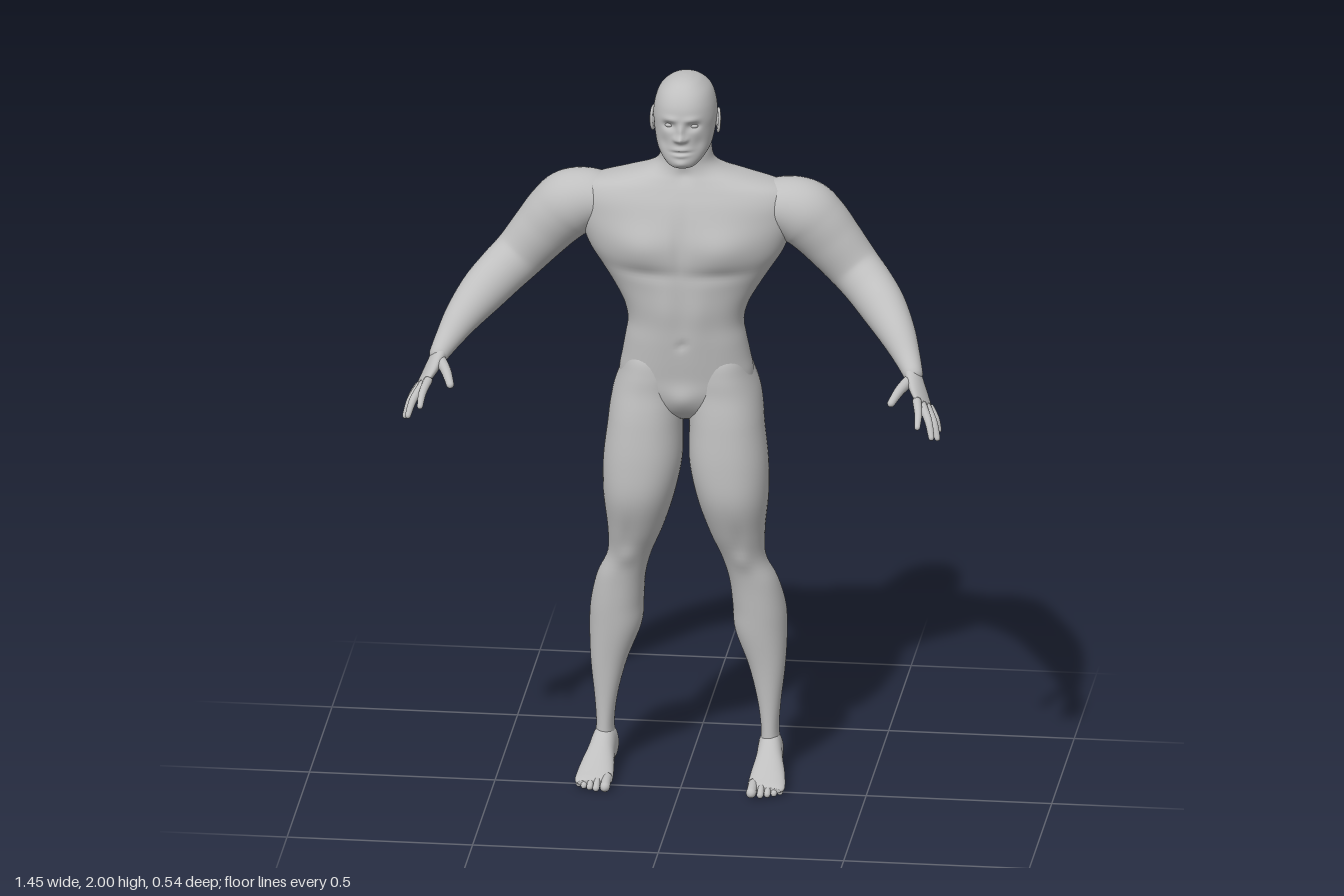
import * as THREE from 'three';

const skin = new THREE.MeshStandardMaterial({ color: 0xbfbfbf });
skin.name = 'plain grey';

// Catmull-Rom interpolation of equally long rows of numbers
function smooth(rows, steps) {
  const out = [], n = rows.length - 1;
  for (let k = 0; k <= n * steps; k++) {
    const i = Math.min(Math.floor(k / steps), n - 1), t = k / steps - i;
    const [a, b, c, d] = [rows[Math.max(i - 1, 0)], rows[i], rows[i + 1], rows[Math.min(i + 2, n)]];
    out.push(b.map((p, j) => p + 0.5 * t * (c[j] - a[j] + t * (2 * a[j] - 5 * p + 4 * c[j] - d[j]
      + t * (3 * (p - c[j]) + d[j] - a[j])))));
  }
  return out;
}

// Closed skin over rings of points, wound so that it faces outwards
function skinRings(rings) {
  const n = rings[0].length, pts = rings.flat(), tris = [];
  const quad = (a, b, c, d) => tris.push([a, b, c], [b, d, c]);
  for (let r = 0; r < rings.length - 1; r++)
    for (let i = 0; i < n; i++) {
      const j = (i + 1) % n;
      quad(r * n + i, r * n + j, (r + 1) * n + i, (r + 1) * n + j);
    }
  for (const r of [0, rings.length - 1]) {
    const mid = rings[r].reduce((s, p) => s.add(p), new THREE.Vector3()).divideScalar(n);
    pts.push(mid);
    for (let i = 0; i < n; i++) {
      const t = [pts.length - 1, r * n + (i + 1) % n, r * n + i];
      tris.push(r ? t.reverse() : t);
    }
  }
  let volume = 0;
  const cross = new THREE.Vector3();
  for (const [a, b, c] of tris) volume += pts[a].dot(cross.crossVectors(pts[b], pts[c]));
  const geo = new THREE.BufferGeometry().setFromPoints(pts);
  geo.setIndex(tris.flatMap(t => (volume < 0 ? [t[0], t[2], t[1]] : t)));
  geo.computeVertexNormals();
  return geo;
}

// Loft of slices [position, centre x, half width, high, low, power high, power low].
// Slices stack along y (high = front z) or, with alongZ, along z (high = top y).
// Bumps [x, y, z, rx, ry, rz, push] move the surface softly along z on both sides.
function loft(rows, { s = 1, seg = 48, steps = 5, alongZ = false, bumps = [] } = {}) {
  const full = rows.map(r => [...r, ...[2.2, 2.2].slice(r.length - 5)]);
  return skinRings(smooth(full, steps).map(([t, c, w, hi, lo, nh, nl]) => {
    const ring = [];
    for (let i = 0; i < seg; i++) {
      const a = (i / seg) * Math.PI * 2, co = Math.cos(a), si = Math.sin(a);
      const e = 2 / (si >= 0 ? nh : nl);
      const x = c + w * Math.sign(co) * Math.abs(co) ** e;
      const q = (hi + lo) / 2 + (hi - lo) / 2 * Math.sign(si) * Math.abs(si) ** e;
      const p = alongZ ? new THREE.Vector3(x, q, t) : new THREE.Vector3(x, t, q);
      let dz = 0;
      for (const [bx, by, bz, rx, ry, rz, push] of bumps)
        dz += push * Math.exp(-(((Math.abs(p.x) - bx) / rx) ** 2) - ((p.y - by) / ry) ** 2 - ((p.z - bz) / rz) ** 2);
      p.z += dz;
      p.x *= s;
      ring.push(p);
    }
    return ring;
  }));
}

// Limb along points [x, y, z, radius across, radius along ref], with a round tip
function limb(rows, { s = 1, ref = [0, 0, 1], seg = 24, steps = 6 } = {}) {
  const path = smooth(rows, steps), V = r => new THREE.Vector3(r[0], r[1], r[2]);
  const ring = (c, t, a, b) => {
    const v = new THREE.Vector3(...ref);
    v.addScaledVector(t, -v.dot(t)).normalize();
    const u = new THREE.Vector3().crossVectors(v, t);
    return Array.from({ length: seg }, (_, i) => {
      const g = (i / seg) * Math.PI * 2;
      const p = c.clone().addScaledVector(u, a * Math.cos(g)).addScaledVector(v, b * Math.sin(g));
      p.x *= s;
      return p;
    });
  };
  const tangent = i => V(path[Math.min(i + 1, path.length - 1)]).sub(V(path[Math.max(i - 1, 0)])).normalize();
  const rings = path.map((r, i) => ring(V(r), tangent(i), r[3], r[4]));
  const end = path[path.length - 1], t = tangent(path.length - 1), len = Math.min(end[3], end[4]);
  for (const g of [0.4, 0.8, 1.15, 1.45])
    rings.push(ring(V(end).addScaledVector(t, len * Math.sin(g)), t, end[3] * Math.cos(g), end[4] * Math.cos(g)));
  return skinRings(rings);
}

export function createModel() {
  const model = new THREE.Group();
  model.name = 'standing figure';
  const add = (name, geo, parent = model) => {
    const mesh = new THREE.Mesh(geo, skin);
    mesh.name = name;
    parent.add(mesh);
    return mesh;
  };

  // Torso from crotch to neck
  add('torso', loft([
    [1.02, 0, 0.03, -0.09, -0.16], [1.05, 0, 0.10, -0.055, -0.20], [1.10, 0, 0.17, -0.038, -0.215],
    [1.15, 0, 0.18, -0.032, -0.235], [1.20, 0, 0.172, -0.026, -0.238], [1.25, 0, 0.163, -0.022, -0.228],
    [1.30, 0, 0.156, -0.02, -0.226], [1.35, 0, 0.168, -0.016, -0.238], [1.40, 0, 0.196, -0.014, -0.25, 2.1, 2.4],
    [1.45, 0, 0.228, -0.012, -0.258, 2.1, 2.5], [1.50, 0, 0.26, -0.008, -0.263, 2.1, 2.6],
    [1.55, 0, 0.28, -0.01, -0.264, 2.1, 2.7], [1.60, 0, 0.295, -0.02, -0.263, 2.1, 2.7],
    [1.645, 0, 0.295, -0.034, -0.254, 2.2, 2.6], [1.68, 0, 0.27, -0.05, -0.242], [1.705, 0, 0.185, -0.062, -0.228],
    [1.725, 0, 0.115, -0.07, -0.215], [1.75, 0, 0.078, -0.072, -0.198], [1.79, 0, 0.068, -0.07, -0.188],
    [1.86, 0, 0.064, -0.08, -0.188],
  ], { seg: 96, bumps: [
    [0.11, 1.53, 0, 0.08, 0.06, 0.1, 0.016],          // chest muscles
    [0, 1.55, 0, 0.014, 0.09, 0.08, -0.007],          // breastbone groove
    [0.1, 1.455, 0, 0.09, 0.018, 0.08, -0.006],       // crease under the chest
    [0.045, 1.34, 0, 0.035, 0.09, 0.08, 0.006],       // stomach muscles
    [0, 1.252, 0, 0.012, 0.012, 0.08, -0.007],        // navel
    [0, 1.09, -0.04, 0.04, 0.035, 0.05, 0.012],       // groin
    [0, 1.45, -0.26, 0.022, 0.2, 0.08, 0.02],         // spine groove
    [0.11, 1.6, -0.26, 0.07, 0.08, 0.08, -0.01],      // shoulder blades
    [0.05, 1.28, -0.23, 0.03, 0.08, 0.06, -0.006],    // lower back muscles
    [0, 1.72, -0.06, 0.02, 0.02, 0.04, -0.006],       // throat hollow
  ] }));

  // Head with modelled face
  add('head', loft([
    [1.763, 0, 0.012, -0.02, -0.045], [1.768, 0, 0.034, -0.006, -0.075], [1.785, 0, 0.054, 0, -0.125],
    [1.81, 0, 0.071, -0.001, -0.175], [1.84, 0, 0.079, -0.002, -0.203], [1.87, 0, 0.083, -0.002, -0.214],
    [1.90, 0, 0.085, -0.001, -0.218], [1.935, 0, 0.08, -0.006, -0.214], [1.965, 0, 0.068, -0.022, -0.2],
    [1.987, 0, 0.045, -0.046, -0.172], [1.997, 0, 0.022, -0.074, -0.14], [2.0, 0, 0.005, -0.1, -0.112],
  ], { seg: 120, steps: 8, bumps: [
    [0.033, 1.885, 0, 0.017, 0.011, 0.05, -0.013],    // eye sockets
    [0.028, 1.905, 0, 0.022, 0.008, 0.04, 0.005],     // brow
    [0, 1.852, 0, 0.012, 0.011, 0.04, 0.021],         // nose tip
    [0, 1.873, 0, 0.009, 0.017, 0.04, 0.011],         // nose bridge
    [0.014, 1.849, 0, 0.007, 0.007, 0.04, 0.006],     // nostrils
    [0, 1.821, 0, 0.022, 0.006, 0.04, 0.006],         // upper lip
    [0, 1.804, 0, 0.019, 0.006, 0.04, 0.006],         // lower lip
    [0, 1.812, 0, 0.024, 0.003, 0.04, -0.005],        // mouth line
    [0, 1.781, 0, 0.018, 0.011, 0.04, 0.006],         // chin
    [0.046, 1.835, -0.02, 0.014, 0.02, 0.04, -0.005], // cheeks
  ] }));

  for (const s of [1, -1]) {
    const side = s > 0 ? 'left' : 'right';
    const part = (name, geo) => add(`${side} ${name}`, geo);

    // Eye and ear
    part('eye', new THREE.SphereGeometry(0.011, 20, 14).scale(1.1, 0.6, 0.8).translate(s * 0.033, 1.884, -0.023));
    const ear = new THREE.Group();
    ear.name = `${side} ear`;
    add('ear shell', new THREE.SphereGeometry(1, 20, 14).scale(0.007, 0.028, 0.015), ear);
    add('ear rim', new THREE.TorusGeometry(0.016, 0.004, 10, 28).scale(1, 1.75, 1).rotateY(Math.PI / 2), ear);
    ear.position.set(s * 0.088, 1.868, -0.118);
    ear.rotation.set(-0.2, s * 0.25, 0);
    model.add(ear);

    // Leg from hip and buttock to ankle
    part('leg', loft([
      [1.24, 0.08, 0.05, -0.08, -0.195], [1.20, 0.086, 0.076, -0.045, -0.243], [1.15, 0.092, 0.088, -0.036, -0.265],
      [1.10, 0.1, 0.097, -0.033, -0.268], [1.05, 0.106, 0.1, -0.025, -0.254], [1.0, 0.11, 0.101, -0.019, -0.236],
      [0.9, 0.116, 0.106, -0.011, -0.23], [0.8, 0.126, 0.096, -0.014, -0.23], [0.7, 0.137, 0.075, -0.047, -0.213],
      [0.62, 0.154, 0.059, -0.08, -0.2], [0.55, 0.178, 0.065, -0.092, -0.222], [0.47, 0.191, 0.071, -0.099, -0.253],
      [0.4, 0.196, 0.07, -0.105, -0.25], [0.3, 0.213, 0.049, -0.115, -0.22], [0.2, 0.22, 0.031, -0.12, -0.2],
      [0.12, 0.222, 0.024, -0.12, -0.203], [0.07, 0.223, 0.029, -0.118, -0.208], [0.03, 0.223, 0.026, -0.12, -0.205],
    ], { s, bumps: [
      [0.155, 0.625, -0.085, 0.024, 0.03, 0.03, 0.008], // kneecap
      [0.15, 0.7, -0.06, 0.015, 0.05, 0.04, -0.004],    // hollow above the knee
      [0.16, 0.6, -0.21, 0.025, 0.04, 0.03, 0.007],     // back of the knee
    ] }));

    // Foot and toes
    part('foot', loft([
      [-0.222, 0.222, 0.01, 0.042, 0.016], [-0.212, 0.222, 0.026, 0.075, 0.004], [-0.18, 0.222, 0.034, 0.11, 0],
      [-0.14, 0.224, 0.034, 0.115, 0], [-0.10, 0.227, 0.037, 0.094, 0.002], [-0.05, 0.23, 0.045, 0.067, 0.003],
      [0, 0.232, 0.05, 0.043, 0.001], [0.025, 0.233, 0.049, 0.032, 0.003], [0.038, 0.233, 0.04, 0.024, 0.007],
    ], { s, alongZ: true }));
    [[0.197, 0.058, 0.014], [0.221, 0.058, 0.0095], [0.239, 0.05, 0.009], [0.256, 0.04, 0.0085], [0.271, 0.026, 0.008]]
      .forEach(([x, z, r], i) => part(`toe ${i + 1}`, limb([
        [x, 0.022, z - 0.055, r, r], [x, 0.021, z - 0.025, r * 0.9, r * 0.9], [x, r + 0.001, z, r, r],
      ], { s, ref: [0, 1, 0], seg: 14, steps: 4 })));

    // Arm from shoulder to wrist
    part('arm', limb([
      [0.19, 1.61, -0.15, 0.06, 0.07], [0.255, 1.618, -0.152, 0.08, 0.082], [0.31, 1.603, -0.153, 0.092, 0.088],
      [0.35, 1.57, -0.154, 0.089, 0.083], [0.395, 1.518, -0.154, 0.081, 0.074], [0.45, 1.453, -0.148, 0.072, 0.065],
      [0.495, 1.412, -0.115, 0.068, 0.062], [0.54, 1.372, -0.062, 0.063, 0.058], [0.585, 1.325, 0.005, 0.05, 0.047],
      [0.618, 1.28, 0.06, 0.036, 0.034], [0.638, 1.25, 0.1, 0.027, 0.028],
    ], { s, seg: 40 }));

    // Palm, fingers and thumb
    part('palm', limb([
      [0.634, 1.256, 0.09, 0.022, 0.025], [0.645, 1.236, 0.115, 0.019, 0.032], [0.659, 1.211, 0.14, 0.016, 0.037],
      [0.674, 1.188, 0.163, 0.011, 0.036],
    ], { s, ref: [0.03, -0.03, -0.05] }));
    const fingers = {
      'index finger': [[0.658, 1.202, 0.178], [0.668, 1.182, 0.228], [0.67, 1.158, 0.266]],
      'middle finger': [[0.671, 1.19, 0.172], [0.694, 1.158, 0.217], [0.705, 1.122, 0.244]],
      'ring finger': [[0.681, 1.18, 0.156], [0.705, 1.145, 0.19], [0.717, 1.108, 0.208]],
      'little finger': [[0.688, 1.172, 0.138], [0.707, 1.143, 0.152], [0.716, 1.113, 0.157]],
      thumb: [[0.636, 1.24, 0.115], [0.612, 1.226, 0.168], [0.594, 1.207, 0.222]],
    };
    for (const [name, [a, b, c]] of Object.entries(fingers)) {
      const r = name === 'thumb' ? 0.014 : name === 'little finger' ? 0.009 : 0.0105;
      part(name, limb([[...a, r * 1.15, r * 1.15], [...b, r, r], [...c, r * 0.75, r * 0.75]],
        { s, ref: [1, 0, 0], seg: 14 }));
    }
  }
  return model;
}
